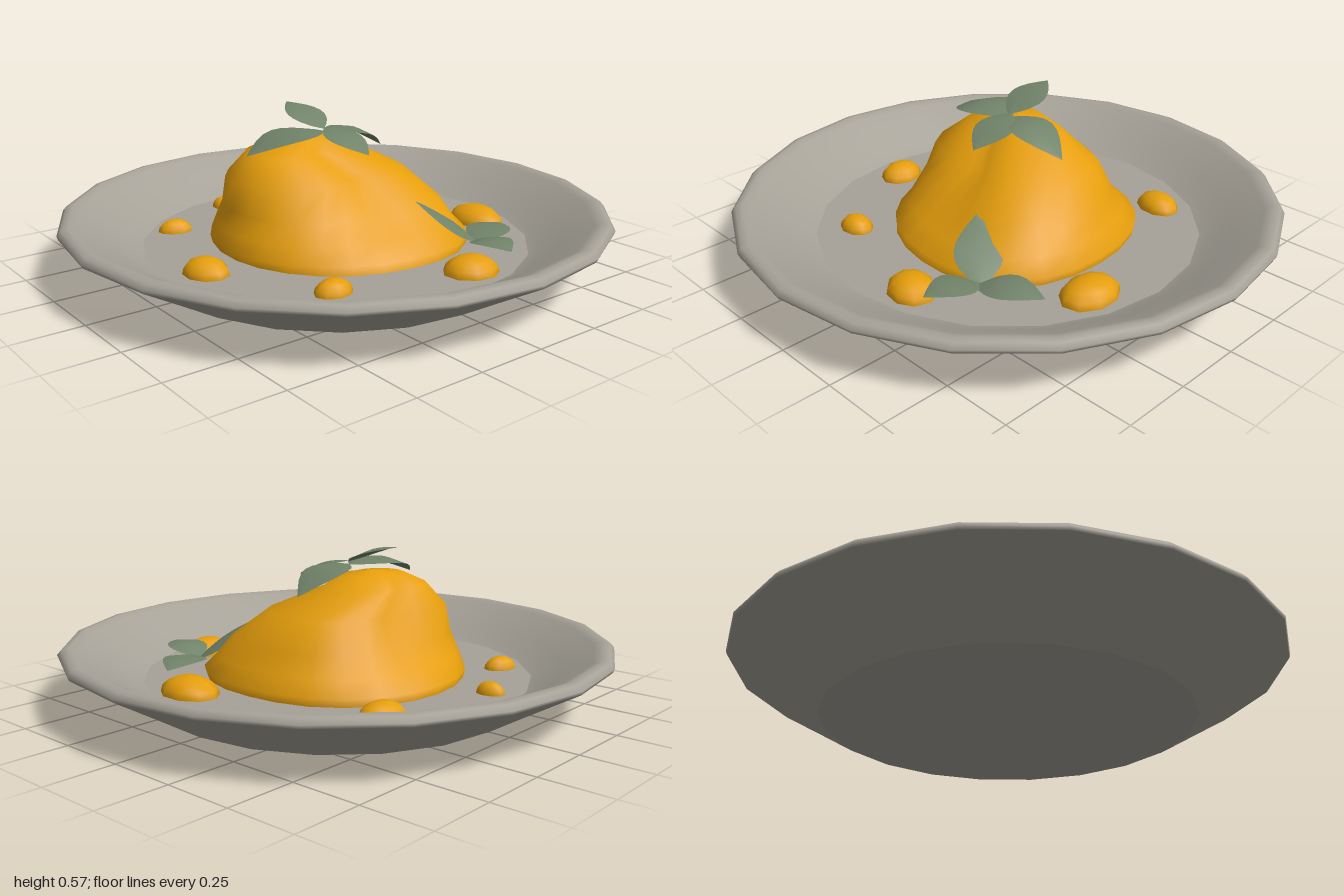
import * as THREE from 'three';

const ceramic = new THREE.MeshStandardMaterial({ name: 'warm grey ceramic', color: 0xa6a298 });
const pudding = new THREE.MeshStandardMaterial({ name: 'golden orange', color: 0xe59e0c });
const mint = new THREE.MeshStandardMaterial({ name: 'mint green', color: 0x71836a, side: THREE.DoubleSide });

const FLOOR = 0.09;

function add(parent, name, geometry, material) {
  const mesh = new THREE.Mesh(geometry, material);
  mesh.name = name;
  parent.add(mesh);
  return mesh;
}

// 20-sided lathe from [radius, height] pairs
function lathe(points) {
  return new THREE.LatheGeometry(points.map(([r, y]) => new THREE.Vector2(r, y)), 20);
}

// Eight radii (from +x, turning towards +z) smoothed around a closed loop
function radiusAt(radii, t) {
  const n = radii.length, f = t * n, i = Math.floor(f), u = f - i;
  const [a, b, c, d] = [-1, 0, 1, 2].map(k => radii[(i + k + n) % n]);
  return b + 0.5 * u * (c - a + u * (2 * a - 5 * b + 4 * c - d + u * (3 * (b - c) + d - a)));
}

// Lopsided mound skinned over a stack of rings
function moundGeometry() {
  const rings = [
    { y: 0.08, x: 0, z: 0, r: [0.45, 0.48, 0.43, 0.42, 0.43, 0.46, 0.46, 0.47] },
    { y: 0.12, x: 0, z: 0, r: [0.46, 0.49, 0.42, 0.42, 0.44, 0.47, 0.47, 0.48] },
    { y: 0.17, x: 0, z: 0, r: [0.41, 0.44, 0.35, 0.37, 0.41, 0.45, 0.40, 0.43] },
    { y: 0.24, x: 0, z: 0, r: [0.38, 0.38, 0.26, 0.32, 0.38, 0.42, 0.33, 0.38] },
    { y: 0.34, x: 0, z: 0, r: [0.29, 0.24, 0.14, 0.22, 0.36, 0.40, 0.28, 0.33] },
    { y: 0.42, x: -0.08, z: -0.1, r: [0.23, 0.17, 0.10, 0.16, 0.20, 0.20, 0.14, 0.18] },
    { y: 0.462, x: -0.07, z: -0.1, r: [0.13, 0.11, 0.07, 0.09, 0.12, 0.12, 0.10, 0.11] },
    { y: 0.475, x: -0.06, z: -0.11, r: [0, 0, 0, 0, 0, 0, 0, 0] },
  ];
  const n = 24, position = [], index = [];
  rings.forEach((ring, j) => {
    for (let i = 0; i < n; i++) {
      const a = i / n * Math.PI * 2, r = radiusAt(ring.r, i / n);
      position.push(ring.x + r * Math.cos(a), ring.y, ring.z + r * Math.sin(a));
      if (j === rings.length - 1) continue;
      const p = j * n + i, q = j * n + (i + 1) % n;
      index.push(p, p + n, q, q, p + n, q + n);
    }
  });
  const g = new THREE.BufferGeometry();
  g.setAttribute('position', new THREE.Float32BufferAttribute(position, 3));
  g.setIndex(index);
  g.computeVertexNormals();
  return g;
}

// Pointed leaf from base to tip, arched along its length and folded at the midrib
function leafGeometry(base, tip, halfWidth, arch) {
  const A = new THREE.Vector3(...base), B = new THREE.Vector3(...tip);
  const side = new THREE.Vector3(0, 1, 0).cross(B.clone().sub(A)).normalize();
  const rows = 8, position = [], index = [];
  for (let i = 0; i <= rows; i++) {
    const t = i / rows;
    const w = halfWidth * Math.sin(Math.PI * Math.pow(t, 0.9));
    const c = A.clone().lerp(B, t);
    c.y += arch * Math.sin(Math.PI * t);
    for (const s of [-1, 0, 1]) {
      position.push(c.x + side.x * w * s, c.y - Math.abs(s) * w * 0.15, c.z + side.z * w * s);
    }
    if (i === rows) continue;
    for (const k of [0, 1]) {
      const p = i * 3 + k;
      index.push(p, p + 3, p + 1, p + 1, p + 3, p + 4);
    }
  }
  const g = new THREE.BufferGeometry();
  g.setAttribute('position', new THREE.Float32BufferAttribute(position, 3));
  g.setIndex(index);
  g.computeVertexNormals();
  return g;
}

export function createModel() {
  const model = new THREE.Group();
  model.name = 'dessertPlate';

  // Plate
  const plate = new THREE.Group();
  plate.name = 'plate';
  model.add(plate);
  add(plate, 'plateBase', lathe([[0, 0], [0.67, 0]]), ceramic);
  add(plate, 'plateWall', lathe([
    [0.67, 0], [0.84, 0.1], [0.995, 0.19], [1, 0.203], [0.985, 0.22], [0.96, 0.225],
    [0.93, 0.213], [0.82, 0.15], [0.75, 0.108], [0.71, FLOOR],
  ]), ceramic);
  add(plate, 'plateFloor', lathe([[0.71, FLOOR], [0, FLOOR]]), ceramic);

  // Pudding
  add(model, 'puddingMound', moundGeometry(), pudding);

  // Sauce drops: x, z, half width, half depth, turn
  const drops = [
    [-0.58, 0.04, 0.075, 0.09, 0.2], [-0.435, -0.43, 0.065, 0.045, -0.4],
    [-0.125, -0.59, 0.037, 0.053, 0.2], [0.33, -0.485, 0.09, 0.07, -0.2],
    [0.56, 0.175, 0.09, 0.12, 0], [0.13, 0.575, 0.1, 0.085, -0.3],
    [-0.35, 0.44, 0.07, 0.055, 0],
  ];
  for (const [x, z, w, d, turn] of drops) {
    const drop = add(model, 'sauceDrop',
      new THREE.SphereGeometry(1, 9, 4, 0, Math.PI * 2, 0, Math.PI / 2), pudding);
    drop.scale.set(w, 0.03 + 0.4 * Math.min(w, d), d);
    drop.position.set(x, FLOOR - 0.002, z);
    drop.rotation.y = turn;
  }

  // Mint sprigs: base, tip, half width, arch
  const sprigs = {
    topSprig: [
      [[-0.02, 0.49, -0.04], [-0.34, 0.435, -0.07], 0.11, 0.045],
      [[-0.03, 0.49, -0.03], [0.24, 0.405, -0.03], 0.09, 0.045],
      [[-0.03, 0.50, -0.03], [-0.04, 0.57, -0.25], 0.077, 0.02],
      [[-0.02, 0.505, -0.04], [0.01, 0.435, 0.18], 0.077, 0.02],
    ],
    sideSprig: [
      [[0.31, 0.12, 0.43], [0.135, 0.27, 0.285], 0.085, 0.01],
      [[0.29, 0.125, 0.44], [0.52, 0.13, 0.345], 0.08, 0.03],
      [[0.30, 0.125, 0.42], [0.26, 0.15, 0.635], 0.075, 0.03],
    ],
  };
  for (const [name, leaves] of Object.entries(sprigs)) {
    const sprig = new THREE.Group();
    sprig.name = name;
    model.add(sprig);
    for (const leaf of leaves) add(sprig, 'mintLeaf', leafGeometry(...leaf), mint);
  }
  return model;
}
